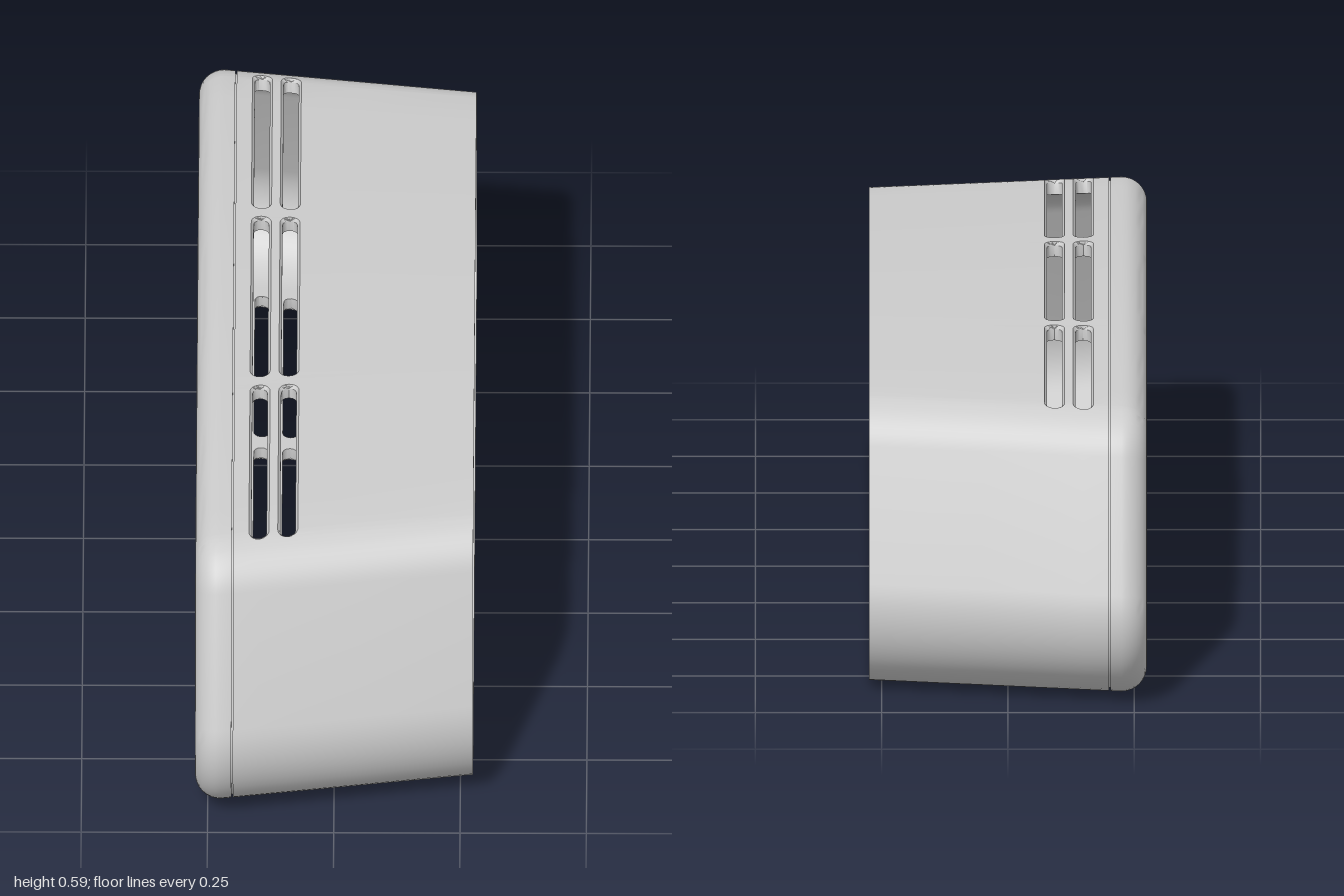
import * as THREE from 'three';
import { toCreasedNormals } from 'three/addons/utils/BufferGeometryUtils.js';

const WALL = 0.03, BACK = -0.275, SEAM = -0.2, FRONT = 0.275, FILLET = 0.05;
const LEAN = THREE.MathUtils.degToRad(23);

// Vent columns and the cable opening: centre x, half width, z spans, faces cut
const VENT_SPANS = [[-0.8, -0.305], [-0.277, 0.277], [0.305, 0.8]];
const SLOTS = [
  { x: -0.149, w: 0.02, spans: VENT_SPANS, faces: [1, -1] },
  { x: -0.092, w: 0.02, spans: VENT_SPANS, faces: [1, -1] },
  { x: 0.05, w: 0.035, spans: [[-0.29, -0.09]], faces: [-1] },
];

// z stations across the top and bottom, dense where slots round off
function stations() {
  const zs = [-0.82, 0.82];
  for (let i = -7; i <= 7; i++) zs.push(i / 10);
  for (const s of SLOTS) for (const [a, b] of s.spans)
    for (const t of [0, 0.06, 0.15, 0.25, 0.35, 0.55, 0.8, 1, 1.25]) zs.push(a + t * s.w, b - t * s.w);
  zs.sort((a, b) => a - b);
  return zs.filter((z, i) => i === 0 || z - zs[i - 1] > 1e-4);
}

// Cross-section loop in z, y with outward normals
function profile() {
  const zs = stations(), pts = [], side = [];
  for (const z of zs) pts.push({ z, y: 0, nz: 0, ny: -1, face: -1 });
  const arc = (cz, cy, r, a0, a1, n) => {
    for (let i = 0; i <= n; i++) {
      const a = a0 + (a1 - a0) * i / n, c = Math.cos(a), s = Math.sin(a);
      side.push({ z: cz + r * c, y: cy + r * s, nz: c, ny: s, face: 0 });
    }
  };
  arc(0.83, 0.17, 0.17, -Math.PI / 2, LEAN, 16);
  arc(0.759, 0.44, 0.13, LEAN, 1.0, 6);
  pts.push(...side);
  for (const z of zs.slice().reverse()) {
    const d = Math.abs(z) - 0.759;
    if (d > 0) {
      const h = Math.sqrt(0.13 ** 2 - d * d);
      pts.push({ z, y: 0.44 + h, nz: Math.sign(z) * d / 0.13, ny: h / 0.13, face: 1 });
    } else pts.push({ z, y: 0.57 + 0.023 * (1 - (z / 0.759) ** 2), nz: 0, ny: 1, face: 1 });
  }
  pts.push(...side.reverse().map(p => ({ ...p, z: -p.z, nz: -p.nz })));
  return pts;
}

const PROFILE = profile();
const taper = x => 1 - 0.18 * Math.max(0, x + 0.225);
const at = (p, x, inset) =>
  new THREE.Vector3(x, p.y - p.ny * inset, (p.z - p.nz * inset) * taper(x));

// Half width of a slot at a profile point, zero outside it
function halfWidth(slot, p, shrink) {
  if (!slot.faces.includes(p.face)) return 0;
  const r = slot.w - shrink;
  for (const [a, b] of slot.spans) {
    const d = Math.min(p.z - a, b - p.z) - shrink;
    if (d > 0) return d >= r ? r : Math.sqrt(r * r - (r - d) ** 2);
  }
  return 0;
}

// Closed band between two loops, skipping empty triangles
function band(out, fa, fb) {
  const n = PROFILE.length, tri = new THREE.Triangle();
  const push = (a, b, c) => {
    if (tri.set(a, b, c).getArea() > 1e-9) for (const v of [a, b, c]) out.push(v.x, v.y, v.z);
  };
  for (let i = 0; i < n; i++) {
    const p = PROFILE[i], q = PROFILE[(i + 1) % n];
    const a = fa(p), b = fb(p), c = fb(q), d = fa(q);
    push(a, b, c);
    push(a, c, d);
  }
}

function mesh(name, geometry, color = 0xcccccc) {
  const m = new THREE.Mesh(geometry, new THREE.MeshStandardMaterial({ color, side: THREE.DoubleSide }));
  m.name = name;
  return m;
}

function bandMesh(name, positions) {
  const g = new THREE.BufferGeometry();
  g.setAttribute('position', new THREE.Float32BufferAttribute(positions, 3));
  return mesh(name, toCreasedNormals(g, 0.5));
}

// Tapered sleeve with slots cut through its top and bottom
function sleeve() {
  const out = [], EDGE = 0.005;
  const edge = (slot, sign, inset, shrink) => p =>
    at(p, slot.x + sign * halfWidth(slot, p, shrink), inset);
  const end = (x, inset) => p => at(p, x, inset);
  for (let k = 0; k <= SLOTS.length; k++) {
    const from = (i, s) => k === 0 ? end(SEAM, i) : edge(SLOTS[k - 1], 1, i, s);
    const to = (i, s) => k === SLOTS.length ? end(FRONT, i) : edge(SLOTS[k], -1, i, s);
    band(out, from(0, 0), to(0, 0));
    band(out, to(WALL, EDGE), from(WALL, EDGE));
  }
  // Slot walls with a chamfered lip
  for (const s of SLOTS) for (const sign of [-1, 1]) {
    const rings = [edge(s, sign, 0, 0), edge(s, sign, 0.007, EDGE), edge(s, sign, WALL, EDGE)];
    if (sign > 0) rings.reverse();
    for (let j = 0; j < 2; j++) band(out, rings[j], rings[j + 1]);
  }
  band(out, end(FRONT, 0), end(FRONT, WALL));
  band(out, end(SEAM, WALL), end(SEAM, 0));
  return bandMesh('sleeve', out);
}

// Rounded rim of the back cover with a fine seam step
function coverRim() {
  const out = [], rings = [];
  for (let i = 0; i <= 8; i++) {
    const a = i / 8 * Math.PI / 2;
    rings.push([BACK + FILLET * (1 - Math.cos(a)), FILLET * (1 - Math.sin(a))]);
  }
  rings.push([-0.203, 0], [-0.203, 0.006], [SEAM, 0.006], [SEAM, WALL], [BACK + WALL, WALL], [BACK + WALL, FILLET]);
  for (let j = 0; j < rings.length - 1; j++)
    band(out, p => at(p, ...rings[j]), p => at(p, ...rings[j + 1]));
  return bandMesh('backCoverRim', out);
}

// Flat plate filling the cross-section, extending from x towards the back
function plate(name, x, inset, depth, holes, color) {
  const shape = new THREE.Shape(PROFILE.map(p => {
    const v = at(p, x, inset);
    return new THREE.Vector2(v.z, v.y);
  }));
  for (const [z, y, r] of holes) shape.holes.push(new THREE.Path().absarc(z, y, r, 0, Math.PI * 2, true));
  const g = new THREE.ExtrudeGeometry(shape, { depth, bevelEnabled: false, curveSegments: 24 });
  g.rotateY(-Math.PI / 2);
  g.translate(x, 0, 0);
  return mesh(name, toCreasedNormals(g, 0.5), color);
}

export function createModel() {
  const group = new THREE.Group();
  group.name = 'speakerHousing';
  group.add(sleeve(), coverRim());

  // Back wall with two small holes and two countersunk ones
  const holes = [];
  for (const s of [-1, 1]) {
    holes.push([s * 0.535, 0.34, 0.028], [s * 0.85, 0.245, 0.062]);
    const cone = mesh('countersink', new THREE.CylinderGeometry(0.062, 0.034, WALL, 32, 1, true));
    cone.rotation.z = Math.PI / 2;
    cone.position.set(BACK + WALL / 2, 0.245, s * 0.85);
    group.add(cone);
  }
  group.add(plate('backWall', BACK + WALL, FILLET, WALL, holes));

  // Dark panel set just inside the front opening
  group.add(plate('frontPanel', 0.268, WALL, 0.02, [], 0x646464));
  return group;
}
